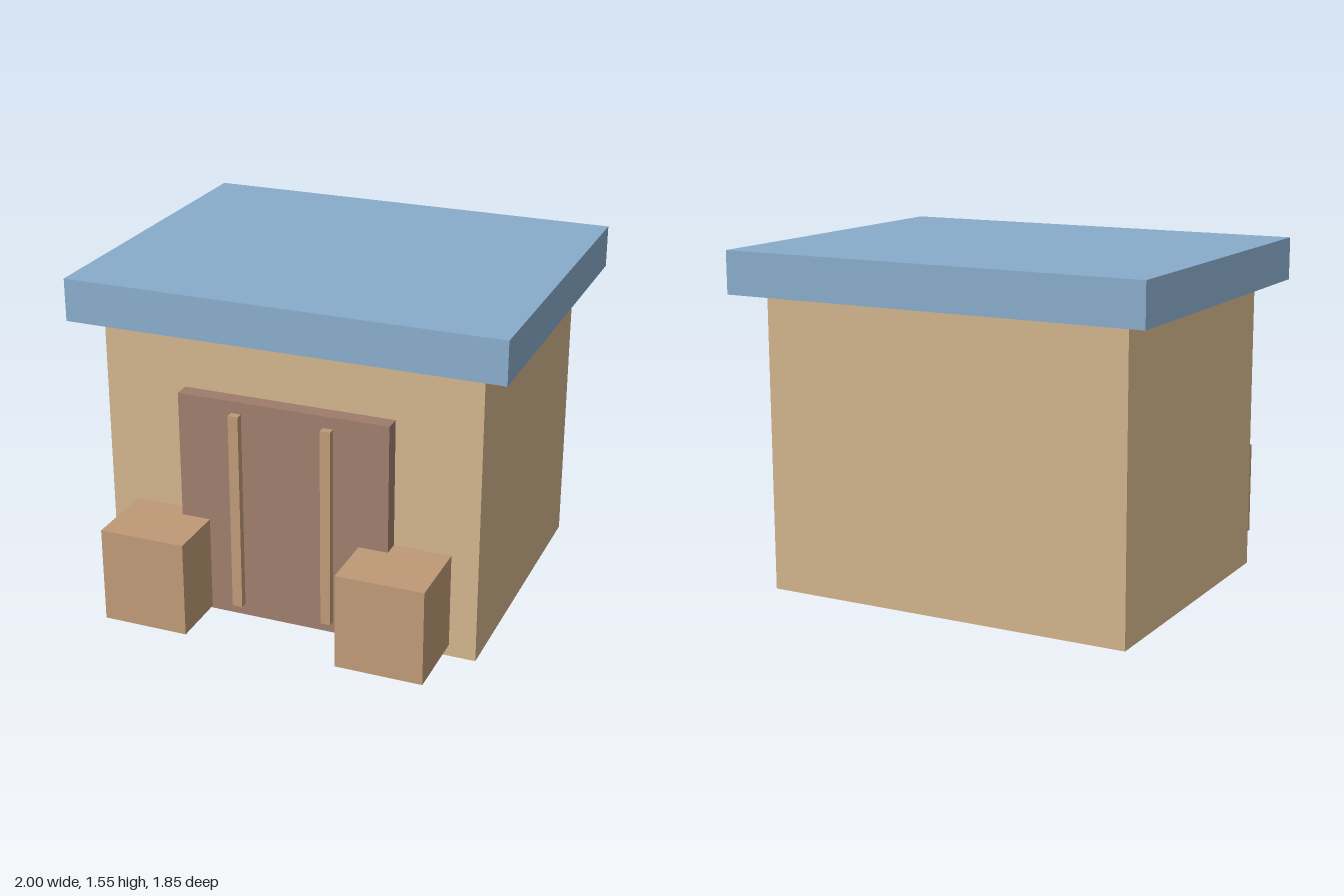
import * as THREE from 'three';

const material = (color) => new THREE.MeshStandardMaterial({ color, flatShading: true });

// Box given by its extents along each axis
function addBox(group, name, mat, [x0, x1], [y0, y1], [z0, z1]) {
  const mesh = new THREE.Mesh(new THREE.BoxGeometry(x1 - x0, y1 - y0, z1 - z0), mat);
  mesh.position.set((x0 + x1) / 2, (y0 + y1) / 2, (z0 + z1) / 2);
  mesh.name = name;
  group.add(mesh);
}

export function createModel() {
  const model = new THREE.Group();
  model.name = 'storehouse';
  const wall = material(0xd2b48c);
  const roof = material(0x8aadcc);
  const door = material(0x9f7e6c);
  const wood = material(0xc09a76);

  // Building body and overhanging flat roof
  addBox(model, 'walls', wall, [-0.875, 0.875], [0, 1.36], [-0.805, 0.575]);
  addBox(model, 'roof', roof, [-1, 1], [1.36, 1.555], [-0.925, 0.69]);

  // Wide door standing proud of the front wall
  addBox(model, 'door', door, [-0.49, 0.49], [0.045, 1.085], [0.55, 0.65]);

  // Mirrored door bars and crates
  for (const [side, s] of [['left', 1], ['right', -1]]) {
    const span = (a, b) => (s > 0 ? [a, b] : [-b, -a]);
    addBox(model, `${side}DoorBar`, wood, span(0.19, 0.237), [0.1, 1.03], [0.63, 0.685]);
    addBox(model, `${side}Crate`, wood, span(0.355, 0.752), [0.055, 0.495], [0.53, 0.925]);
  }
  return model;
}
